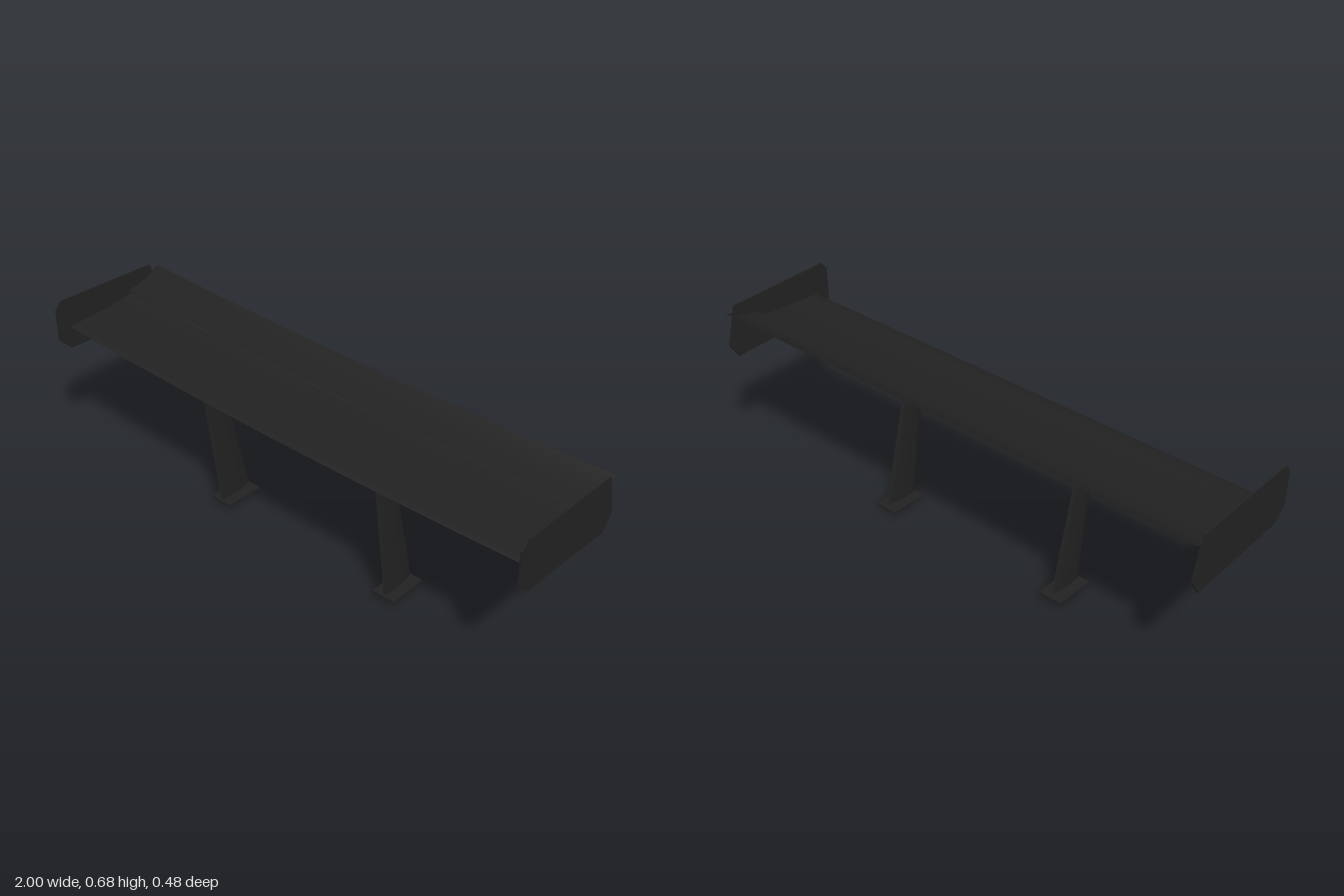
import * as THREE from 'three';
import { toCreasedNormals } from 'three/addons/utils/BufferGeometryUtils.js';

// Skin between equal closed rings of [x, y, z] points, with capped ends
function loft(rings) {
  const n = rings[0].length, pos = [], idx = [];
  rings.forEach(r => r.forEach(p => pos.push(...p)));
  for (let i = 0; i < rings.length - 1; i++) {
    for (let j = 0; j < n; j++) {
      const k = (j + 1) % n, a = i * n, b = a + n;
      idx.push(a + j, a + k, b + k, a + j, b + k, b + j);
    }
  }
  [0, rings.length - 1].forEach(i => {
    const c = pos.length / 3;
    pos.push(...[0, 1, 2].map(d => rings[i].reduce((s, p) => s + p[d], 0) / n));
    for (let j = 0; j < n; j++) {
      const a = i * n + j, b = i * n + (j + 1) % n;
      if (i === 0) idx.push(c, b, a); else idx.push(c, a, b);
    }
  });
  const g = new THREE.BufferGeometry();
  g.setAttribute('position', new THREE.Float32BufferAttribute(pos, 3));
  g.setIndex(idx);
  return toCreasedNormals(g, 0.75);
}

// Foil loop as [t along chord, thickness factor -1..1]: trailing edge, one side, nose, other side
function foilLoop(steps) {
  const pts = [];
  for (let i = 0; i < steps * 2; i++) {
    const a = (i / steps) * Math.PI;
    const t = (1 + Math.cos(a)) / 2;
    const h = 2.6 * Math.sqrt(t) * (1 - t) * (i <= steps ? 1 : -1);
    pts.push([t, h]);
  }
  return pts;
}

// Wing element bowed back and up toward its tips
function wingElement(lead, trail, camber, half) {
  const loop = foilLoop(10), rings = [];
  for (let i = 0; i <= 16; i++) {
    const x = -0.996 + 1.992 * i / 16, bow = 1 - x * x;
    rings.push(loop.map(([t, h]) => [
      x,
      lead[1] + (trail[1] - lead[1]) * t - camber * 4 * t * (1 - t) + half * h - 0.01 * bow,
      lead[0] + (trail[0] - lead[0]) * t + 0.013 * bow
    ]));
  }
  return loft(rings);
}

// Tapered, raked strut with a lens section
function strutGeometry() {
  const ends = [
    { front: [0.056, 0.0], rear: [-0.082, 0.026] },
    { front: [0.130, 0.543], rear: [0.041, 0.543] }
  ];
  const n = 20;
  return loft(ends.map(({ front, rear }) => Array.from({ length: n }, (_, j) => {
    const a = (j / n) * Math.PI * 2, t = (1 - Math.cos(a)) / 2;
    return [
      0.006 * Math.sin(a),
      front[1] + (rear[1] - front[1]) * t,
      front[0] + (rear[0] - front[0]) * t
    ];
  })));
}

export function createModel() {
  const group = new THREE.Group();
  group.name = 'rearWing';
  const black = new THREE.MeshStandardMaterial({ color: 0x222222 });
  black.name = 'satinBlack';
  const add = (name, geometry, x = 0, y = 0, z = 0) => {
    const m = new THREE.Mesh(geometry, black);
    m.name = name;
    m.position.set(x, y, z);
    group.add(m);
  };

  // Main plane and slotted flap
  add('mainPlane', wingElement([0.187, 0.56], [-0.105, 0.586], 0.013, 0.010));
  add('flap', wingElement([-0.094, 0.599], [-0.241, 0.648], 0.012, 0.004));

  // End plates, outline in (z, y)
  const outline = [[0.242, 0.65], [0.218, 0.678], [-0.203, 0.664], [-0.241, 0.517],
    [-0.203, 0.46], [0.193, 0.479], [0.242, 0.527]];
  const shape = new THREE.Shape(outline.map(([z, y]) => new THREE.Vector2(-z, y)));
  const plate = new THREE.ExtrudeGeometry(shape, { depth: 0.005, bevelEnabled: false });
  plate.rotateY(Math.PI / 2);
  add('leftEndPlate', plate, 0.995);
  add('rightEndPlate', plate, -1);

  // Struts with mounting feet, the right one seated slightly higher
  const strut = strutGeometry();
  const foot = new THREE.BoxGeometry(0.09, 0.007, 0.153);
  [['left', 0.383, 0], ['right', -0.383, 0.008]].forEach(([side, x, lift]) => {
    add(side + 'Strut', strut, x, lift, 0);
    add(side + 'Foot', foot, x, 0.0125 + lift, -0.0135);
  });
  return group;
}
